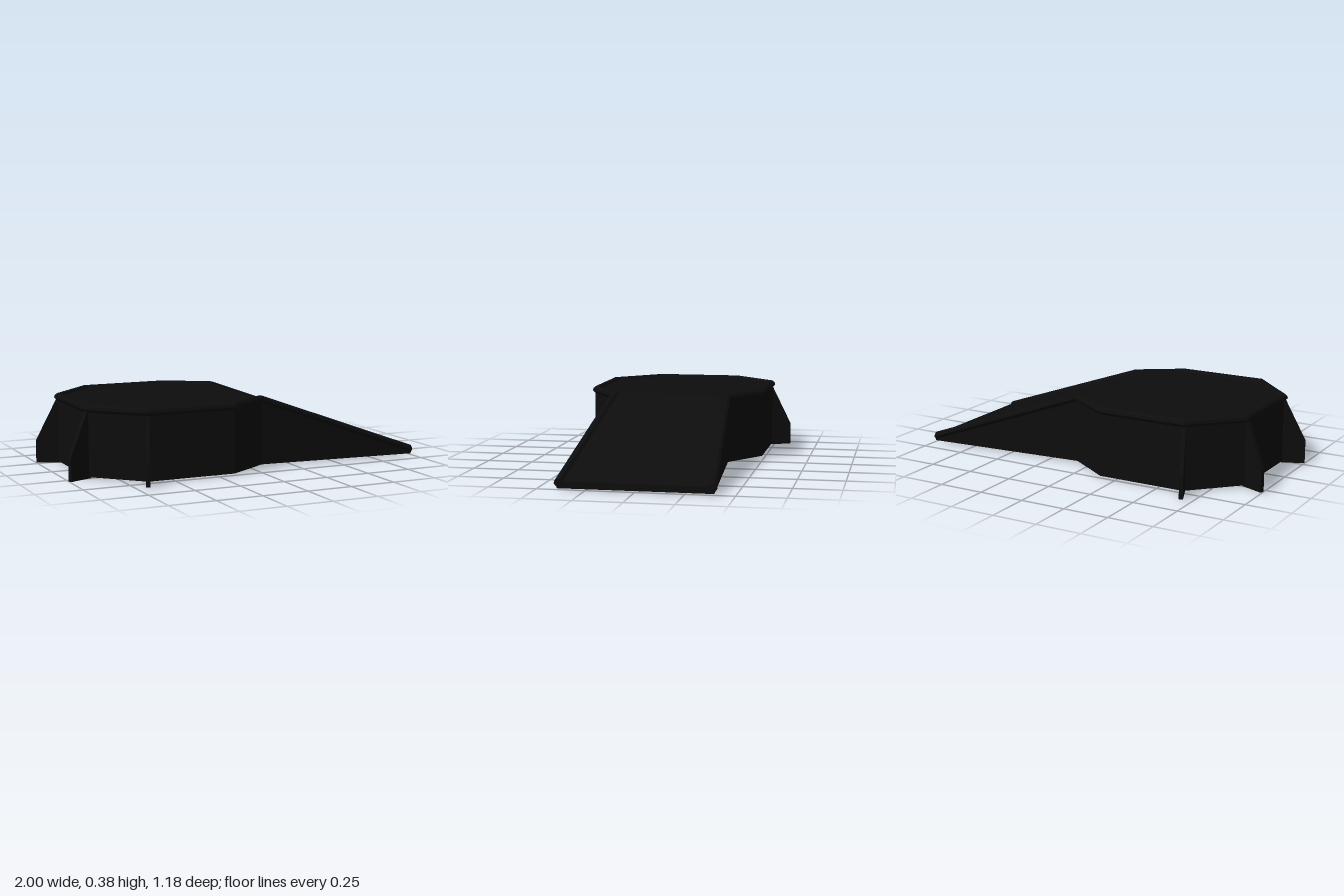
import * as THREE from 'three';

const material = new THREE.MeshStandardMaterial({ color: 0x0d0d0d, flatShading: true });
const BASE = 0.007;

// Outline from ramp tip round the deck: [x, z, rim height], then mirrored in z
const half = [[1, 0.41, 0.055], [0.09, 0.34, 0.385], [-0.15, 0.5, 0.385], [-0.65, 0.5, 0.385], [-0.9, 0.248, 0.385]];
const outline = [...half, ...half.slice().reverse().map(([x, z, h]) => [x, -z, h])];

// Rim section from inner floor to outer wall: [inset, drop below rim height]
const rim = [[0.046, 0.013], [0.034, 0], [0.016, 0], [0.004, 0.01], [0, 0.024], [0.014, 0.04], [0.014, null]];

// Mitred inward direction at each outline corner
function inward(i) {
  const n = outline.length;
  if (i === 0) return [0, -1];
  if (i === n - 1) return [0, 1];
  const normal = (a, b) => {
    const dx = b[0] - a[0], dz = b[1] - a[1], l = Math.hypot(dx, dz);
    return [-dz / l, dx / l];
  };
  const p = normal(outline[i - 1], outline[i]), q = normal(outline[i], outline[i + 1]);
  const s = 1 + p[0] * q[0] + p[1] * q[1];
  return [(p[0] + q[0]) / s, (p[1] + q[1]) / s];
}

function meshFrom(name, positions) {
  const g = new THREE.BufferGeometry();
  g.setAttribute('position', new THREE.Float32BufferAttribute(positions, 3));
  g.computeVertexNormals();
  const m = new THREE.Mesh(g, material);
  m.name = name;
  return m;
}

function createBody() {
  const n = outline.length, last = rim.length - 1;
  const rings = outline.map(([x, z, h], i) => {
    const [nx, nz] = inward(i);
    return rim.map(([d, drop]) => [x + nx * d, drop === null ? BASE : h - drop, z + nz * d]);
  });
  const sides = [], deck = [], under = [], tip = [];
  const tri = (out, a, b, c) => out.push(...a, ...b, ...c);
  const quad = (out, a, b, c, d) => { tri(out, a, b, c); tri(out, a, c, d); };

  // Rim and walls
  for (let i = 0; i < n - 1; i++)
    for (let k = 0; k < last; k++)
      quad(sides, rings[i][k], rings[i + 1][k], rings[i + 1][k + 1], rings[i][k + 1]);

  // Deck floor, ramp floor and underside, as strips across the width
  for (let i = 0; i < half.length - 1; i++) {
    const j = n - 1 - i;
    quad(deck, rings[i][0], rings[j][0], rings[j - 1][0], rings[i + 1][0]);
    quad(under, rings[i][last], rings[i + 1][last], rings[j - 1][last], rings[j][last]);
  }

  // Flat end of the ramp
  const A = rings[0], B = rings[n - 1];
  for (let k = 1; k < last; k++) {
    tri(tip, A[0], A[k], A[k + 1]);
    tri(tip, B[0], B[k + 1], B[k]);
  }
  quad(tip, A[0], A[last], B[last], B[0]);

  const body = new THREE.Group();
  body.name = 'body';
  body.add(meshFrom('rimAndWalls', sides), meshFrom('deckAndRamp', deck),
    meshFrom('underside', under), meshFrom('rampTip', tip));
  return body;
}

// Tapered buttress fin standing out from a corner
function createFin(name, x, z, angle) {
  const t = 0.022;
  const shape = new THREE.Shape([[-0.03, 0], [0.104, 0], [0.104, 0.125], [-0.01, 0.352], [-0.03, 0.352]]
    .map(([u, v]) => new THREE.Vector2(u, v)));
  const g = new THREE.ExtrudeGeometry(shape, { depth: t, bevelEnabled: false });
  g.translate(0, 0, -t / 2);
  const fin = new THREE.Mesh(g, material);
  fin.name = name;
  fin.position.set(x, 0, z);
  fin.rotation.y = angle;
  return fin;
}

export function createModel() {
  const model = new THREE.Group();
  model.name = 'rampPlatform';
  model.add(createBody());
  for (const s of [1, -1]) {
    const side = s > 0 ? 'Front' : 'Back';
    model.add(createFin('sideFin' + side, -0.646, s * 0.492, -s * Math.PI * 0.625));
    model.add(createFin('endFin' + side, -0.9, s * 0.246, -s * Math.PI * 0.875));
  }
  return model;
}
